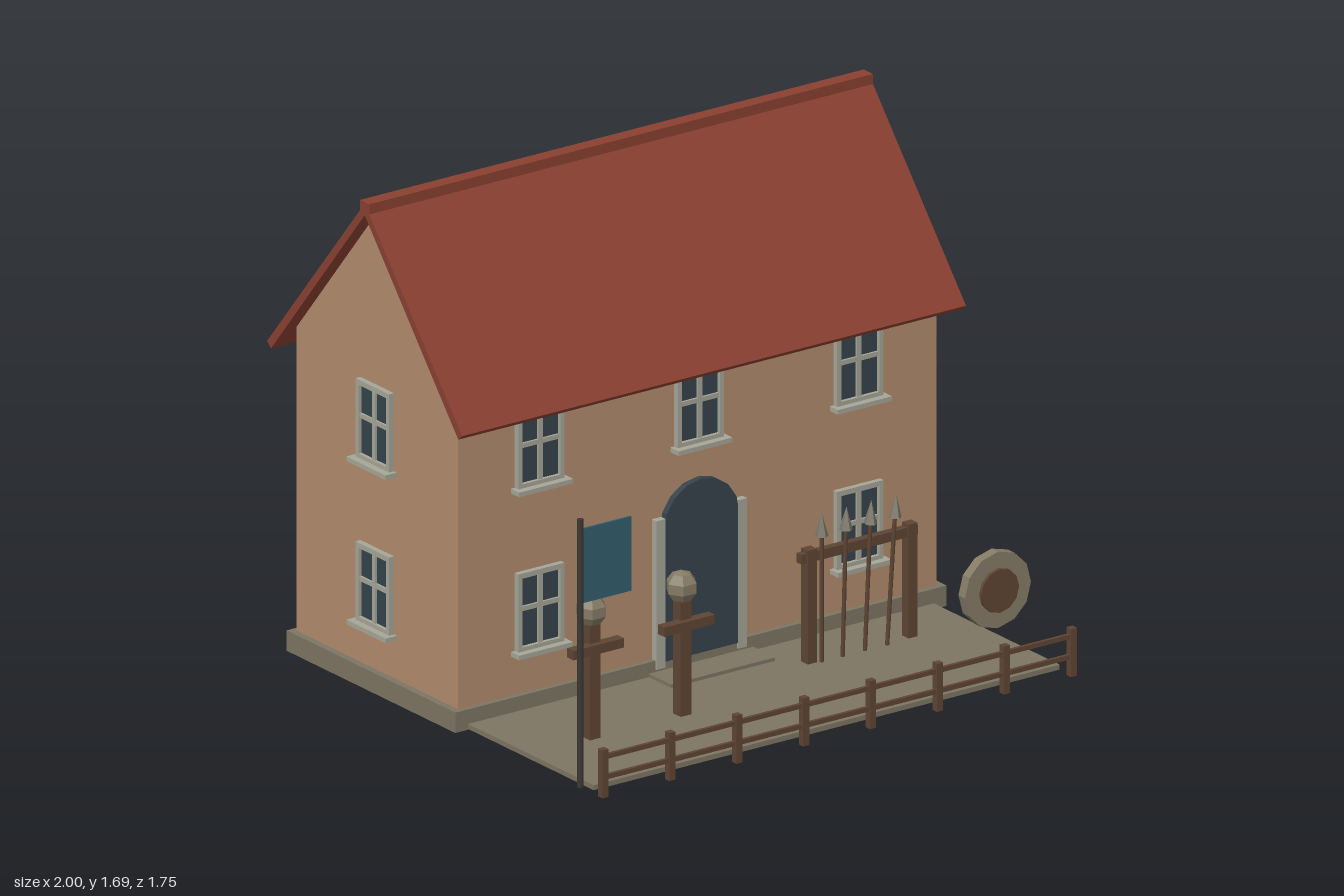
import * as THREE from 'three';

const makeMaterial = (name, color) => {
  const m = new THREE.MeshStandardMaterial({ color });
  m.name = name;
  return m;
};

export function createModel() {
  const plaster = makeMaterial('plaster', 0xb28b6c);
  const tile = makeMaterial('roofTile', 0x8a4031);
  const stone = makeMaterial('stone', 0x7d7563);
  const trim = makeMaterial('trim', 0xa5a597);
  const glass = makeMaterial('darkPane', 0x35434b);
  const wood = makeMaterial('wood', 0x5e4534);
  const steel = makeMaterial('steel', 0x7c7a6b);
  const straw = makeMaterial('straw', 0x857b65);
  const cloth = makeMaterial('flagCloth', 0x325e6c);
  const iron = makeMaterial('poleIron', 0x3c3834);
  // faceted shading for all straight-sided parts
  for (const m of [straw, steel]) m.flatShading = true;

  const model = new THREE.Group();
  model.name = 'trainingHouse';

  const add = (parent, name, geometry, material, x = 0, y = 0, z = 0) => {
    const mesh = new THREE.Mesh(geometry, material);
    mesh.name = name;
    mesh.position.set(x, y, z);
    parent.add(mesh);
    return mesh;
  };
  // box given by its limits
  const box = (parent, name, material, x0, x1, y0, y1, z0, z1) =>
    add(parent, name, new THREE.BoxGeometry(x1 - x0, y1 - y0, z1 - z0), material,
      (x0 + x1) / 2, (y0 + y1) / 2, (z0 + z1) / 2);
  const group = (name, parent = model) => {
    const g = new THREE.Group();
    g.name = name;
    parent.add(g);
    return g;
  };
  // profile across the house, extruded along x
  const alongX = (points, length) => {
    const shape = new THREE.Shape(points.map(([a, b]) => new THREE.Vector2(a, b)));
    const g = new THREE.ExtrudeGeometry(shape, { depth: length, bevelEnabled: false });
    g.translate(0, 0, -length / 2);
    return g.rotateY(Math.PI / 2);
  };

  // House body
  const MID = -0.34;
  const house = group('house');
  box(house, 'foundation', stone, -0.975, 0.975, 0, 0.07, -0.8, 0.12);
  add(house, 'walls', alongX(
    [[-0.44, 0.06], [0.44, 0.06], [0.44, 1.112], [0, 1.64], [-0.44, 1.112]], 1.9), plaster, 0, 0, MID);
  add(house, 'roof', alongX(
    [[-0.532, 1.047], [-0.51, 1.028], [0, 1.642], [0.51, 1.028], [0.532, 1.047], [0, 1.682]], 2),
    tile, 0, 0, MID);
  box(house, 'ridgeCap', tile, -1, 1, 1.643, 1.687, MID - 0.025, MID + 0.025);

  // Windows: built facing +z around the frame centre
  const frameShape = new THREE.Shape();
  const rect = (path, w, h) => path.moveTo(-w, -h).lineTo(w, -h).lineTo(w, h).lineTo(-w, h).closePath();
  rect(frameShape, 0.092, 0.136);
  frameShape.holes.push(rect(new THREE.Path(), 0.075, 0.118));
  const frameGeometry = new THREE.ExtrudeGeometry(frameShape, { depth: 0.02, bevelEnabled: false });
  const addWindow = (x, y, z, turn) => {
    const w = group('window', house);
    add(w, 'windowFrame', frameGeometry, trim);
    box(w, 'windowPane', glass, -0.077, 0.077, -0.12, 0.12, 0, 0.007);
    box(w, 'verticalBar', trim, -0.009, 0.009, -0.12, 0.12, 0.002, 0.015);
    box(w, 'crossBar', trim, -0.077, 0.077, 0.004, 0.02, 0.002, 0.015);
    box(w, 'windowSill', trim, -0.107, 0.107, -0.148, -0.132, 0, 0.045);
    w.position.set(x, y, z);
    w.rotation.y = turn;
  };
  for (const y of [0.352, 0.912]) {
    for (const x of [-0.633, 0, 0.633]) {
      if (x !== 0 || y > 0.5) addWindow(x, y, 0.1, 0);
      addWindow(x, y, -0.78, Math.PI);
    }
    for (const s of [-1, 1]) addWindow(s * 0.95, y, MID, s * Math.PI / 2);
  }

  // Arched door with jambs
  const door = group('door');
  const arch = new THREE.Shape();
  arch.moveTo(-0.148, 0.06);
  arch.lineTo(0.148, 0.06);
  for (let i = 0; i <= 8; i++) {
    const a = i * Math.PI / 8;
    arch.lineTo(0.15 * Math.cos(a), 0.507 + 0.15 * Math.sin(a));
  }
  add(door, 'doorPanel', new THREE.ExtrudeGeometry(arch, { depth: 0.034, bevelEnabled: false }),
    glass, 0, 0, 0.09);
  for (const s of [-1, 1]) {
    add(door, 'doorJamb', new THREE.BoxGeometry(0.036, 0.51, 0.035), trim, s * 0.162, 0.295, 0.1075);
  }

  // Yard and door step
  box(model, 'yard', stone, -0.925, 0.925, 0.003, 0.02, 0.1, 0.805);
  box(model, 'doorStep', stone, -0.207, 0.207, 0.01, 0.032, 0.1, 0.24);

  // Fence
  const fence = group('fence');
  for (let i = 0; i < 8; i++) {
    const x = -0.93 + i * 1.86 / 7;
    box(fence, 'fencePost', wood, x - 0.012, x + 0.012, 0, 0.165, 0.852, 0.876);
  }
  for (const y of [0.067, 0.137]) {
    box(fence, 'fenceRail', wood, -0.93, 0.93, y - 0.008, y + 0.008, 0.858, 0.87);
  }

  // Training dummies
  for (const x of [-0.675, -0.315]) {
    const dummy = group('trainingDummy');
    box(dummy, 'dummyPost', wood, -0.021, 0.021, 0.01, 0.43, 0.429, 0.471);
    box(dummy, 'dummyArms', wood, -0.1, 0.1, 0.318, 0.35, 0.455, 0.49);
    add(dummy, 'dummyHead', new THREE.SphereGeometry(0.055, 6, 5), straw, 0, 0.457, 0.447);
    dummy.position.x = x;
  }

  // Spear rack
  const rack = group('spearRack');
  for (const x of [0.29, 0.69]) {
    box(rack, 'rackPost', wood, x - 0.018, x + 0.018, 0.01, 0.41, 0.293, 0.329);
  }
  box(rack, 'rackRail', wood, 0.252, 0.715, 0.365, 0.398, 0.295, 0.322);
  const shaftGeometry = new THREE.CylinderGeometry(0.007, 0.007, 0.46, 6);
  const tipGeometry = new THREE.ConeGeometry(0.023, 0.08, 5);
  [0, 0.03, 0.05, 0.07].forEach((lean, i) => {
    const spear = group('spear', rack);
    add(spear, 'spearShaft', shaftGeometry, wood, 0, 0.23, 0);
    add(spear, 'spearTip', tipGeometry, steel, 0, 0.492, 0);
    spear.position.set(0.323 + i * 0.098 - lean * 0.5, 0, 0.334);
    spear.rotation.z = -lean;
  });

  // Round shield
  const shield = group('shield');
  const disc = (name, material, r, depth, z) => {
    const g = new THREE.CylinderGeometry(r, r, depth, 12).rotateX(Math.PI / 2);
    add(shield, name, g, material, 0, 0, z);
  };
  disc('shieldDisc', straw, 0.131, 0.036, 0);
  disc('shieldCentre', wood, 0.075, 0.014, 0.023);
  shield.position.set(0.775, 0.27, 0.657);

  // Flag
  const flag = group('flag');
  add(flag, 'flagPole', new THREE.CylinderGeometry(0.01, 0.01, 0.92, 8), iron, -0.953, 0.47, 0.77);
  box(flag, 'flagCloth', cloth, -0.946, -0.753, 0.64, 0.895, 0.766, 0.774);

  return model;
}
